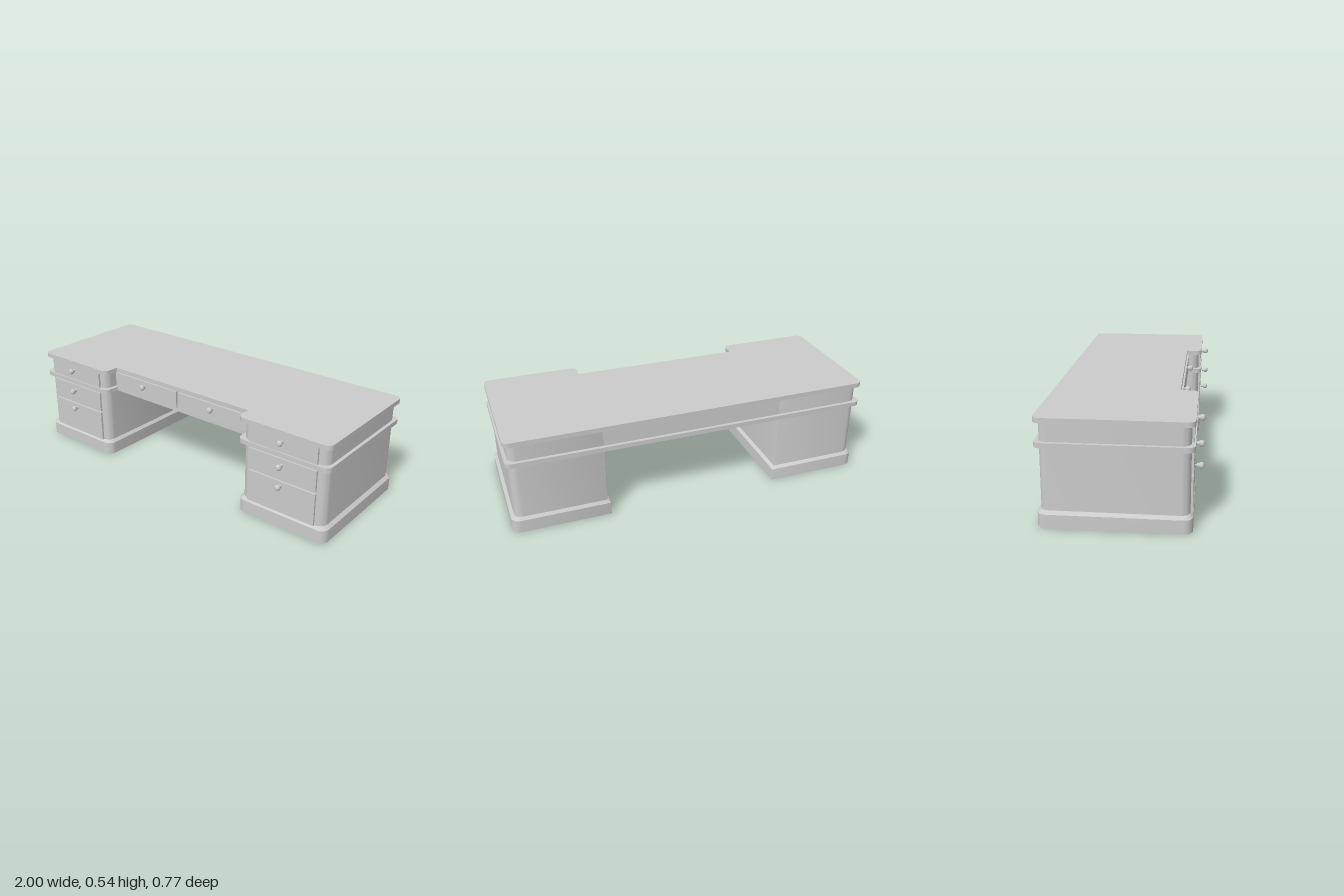
import * as THREE from 'three';
import { toCreasedNormals } from 'three/addons/utils/BufferGeometryUtils.js';

const material = new THREE.MeshStandardMaterial({ color: 0xcccccc });
const SHARP = 0.002;

// Rounded right-angled outline in x/z; corners are [x, z, radius], inset moves it inwards
function outline(corners, inset = 0, steps = 8) {
  const points = [];
  const count = corners.length;
  corners.forEach(([x, z, radius], i) => {
    const p = new THREE.Vector2(x, z);
    const toCorner = ([cx, cz]) => new THREE.Vector2(cx, cz).sub(p).normalize();
    const prev = toCorner(corners[(i + count - 1) % count]);
    const next = toCorner(corners[(i + 1) % count]);
    const convex = next.cross(prev) > 0 ? 1 : -1;
    const r = Math.max(radius - inset * convex, SHARP);
    const c = p.clone().addScaledVector(prev, inset * convex + r).addScaledVector(next, inset * convex + r);
    for (let k = 0; k <= steps; k++) {
      const t = (k / steps) * Math.PI / 2;
      points.push(c.clone().addScaledVector(next, -r * Math.cos(t)).addScaledVector(prev, -r * Math.sin(t)));
    }
  });
  return points;
}

// Upright extrusion of an x/z outline between two heights
function slab(points, y0, y1, hole) {
  const shape = new THREE.Shape(points);
  if (hole) shape.holes.push(new THREE.Path(hole));
  const geometry = new THREE.ExtrudeGeometry(shape, { depth: y1 - y0, bevelEnabled: false });
  geometry.rotateX(Math.PI / 2).translate(0, y1, 0);
  return toCreasedNormals(geometry, 0.6);
}

// Sweep a closed [inset, y] section around a rounded outline
function moulding(corners, section) {
  const rows = section.map(([inset, y]) => outline(corners, inset).map((p) => [p.x, y, p.y]));
  const n = rows[0].length, m = rows.length, index = [];
  for (let i = 0; i < m; i++) for (let j = 0; j < n; j++) {
    const i2 = (i + 1) % m, j2 = (j + 1) % n;
    const a = i * n + j, b = i2 * n + j, c = i * n + j2, d = i2 * n + j2;
    index.push(a, b, c, b, d, c);
  }
  const geometry = new THREE.BufferGeometry();
  geometry.setAttribute('position', new THREE.Float32BufferAttribute(rows.flat(2), 3));
  geometry.setIndex(index);
  return toCreasedNormals(geometry.toNonIndexed(), 0.6);
}

function add(parent, name, geometry) {
  const mesh = new THREE.Mesh(geometry, material);
  mesh.name = name;
  parent.add(mesh);
  return mesh;
}

function box(parent, name, x0, x1, y0, y1, z0, z1) {
  const mesh = add(parent, name, new THREE.BoxGeometry(x1 - x0, y1 - y0, z1 - z0));
  mesh.position.set((x0 + x1) / 2, (y0 + y1) / 2, (z0 + z1) / 2);
}

// Pin, short stem and ball, pointing forwards
function knob(parent, x, y, z) {
  const profile = [[0, 0], [0.004, 0], [0.004, 0.011], [0.01, 0.011], [0.01, 0.019]];
  for (let k = 0; k <= 10; k++) {
    const a = -0.9 + (k / 10) * (0.9 + Math.PI / 2);
    profile.push([0.016 * Math.cos(a), 0.032 + 0.016 * Math.sin(a)]);
  }
  const geometry = new THREE.LatheGeometry(profile.map(([r, h]) => new THREE.Vector2(Math.max(r, 0), h)), 20);
  add(parent, 'knob', toCreasedNormals(geometry.rotateX(Math.PI / 2).toNonIndexed(), 0.6)).position.set(x, y, z);
}

// Footprint of a pedestal: every corner is round except the rear one at the kneehole
function footprint(side, inner, outer, back, front) {
  const [x0, x1] = side > 0 ? [inner, outer] : [-outer, -inner];
  const rear = (x) => (Math.abs(x) < 0.6 ? SHARP : 0.045);
  return [[x0, front, 0.045], [x0, back, rear(x0)], [x1, back, rear(x1)], [x1, front, 0.045]];
}

function pedestal(side) {
  const group = new THREE.Group();
  group.name = side > 0 ? 'leftPedestal' : 'rightPedestal';
  const span = (a, b) => (side > 0 ? [a, b] : [-b, -a]);

  // Thin hollow plinth with a chamfered top edge
  add(group, 'plinth', moulding(footprint(side, 0.476, 1, -0.383, 0.343),
    [[0.004, 0], [0, 0], [0, 0.07], [0.016, 0.085], [0.024, 0.085], [0.024, 0.08], [0.02, 0.08], [0.004, 0.067]]));

  // Carcass wall, open at the front between the drawer sides
  const corners = footprint(side, 0.492, 0.982, -0.368, 0.329);
  const [open0, open1] = span(0.546, 0.925);
  const wall = (inset) => [
    new THREE.Vector2(open0, 0.329 - inset), ...outline(corners, inset), new THREE.Vector2(open1, 0.329 - inset),
  ];
  add(group, 'carcass', slab([...wall(0), ...wall(0.012).reverse()], 0.075, 0.515));

  // Rails between the drawers
  for (const [y0, y1] of [[0.07, 0.085], [0.257, 0.272], [0.383, 0.4]]) {
    box(group, 'rail', open0, open1, y0, y1, 0.317, 0.329);
  }

  // Drawers, bottom to top: a front with a lower box behind it
  const [d0, d1] = span(0.539, 0.933);
  const [b0, b1] = span(0.556, 0.915);
  for (const [y0, y1, knobY] of [[0.083, 0.259, 0.241], [0.27, 0.385, 0.353], [0.42, 0.513, 0.482]]) {
    box(group, 'drawerFront', d0, d1, y0, y1, 0.322, 0.34);
    box(group, 'drawerBox', b0, b1, y0 + 0.005, y0 + 0.09, 0.15, 0.325);
    knob(group, side * 0.74, knobY, 0.34);
  }
  return group;
}

export function createModel() {
  const desk = new THREE.Group();
  desk.name = 'pedestalDesk';

  // Top and waist band share an outline that steps back over the kneehole
  const r = 0.035;
  const topCorners = [
    [-1, -0.387, r], [1, -0.387, r], [1, 0.347, r], [0.471, 0.347, r], [0.471, 0.257, SHARP],
    [-0.471, 0.257, SHARP], [-0.471, 0.347, r], [-1, 0.347, r],
  ];
  add(desk, 'desktop', slab(outline(topCorners), 0.513, 0.538));
  add(desk, 'waistBand', slab(outline(topCorners), 0.395, 0.42, outline(topCorners, 0.045)));

  for (const side of [-1, 1]) desk.add(pedestal(side));

  // Frieze across the kneehole, front and back, and the panel between them
  box(desk, 'backFrieze', -0.5, 0.5, 0.41, 0.515, -0.368, -0.352);
  box(desk, 'frontFrieze', -0.5, 0.5, 0.41, 0.515, 0.222, 0.24);
  box(desk, 'kneeholePanel', -0.495, 0.495, 0.397, 0.412, -0.35, 0.06);

  // Two shallow drawers over the kneehole
  for (const side of [-1, 1]) {
    const [x0, x1] = side > 0 ? [0.005, 0.47] : [-0.47, -0.005];
    box(desk, 'kneeholeDrawerFront', x0, x1, 0.42, 0.513, 0.235, 0.267);
    box(desk, 'kneeholeDrawerBox', x0 + 0.015, x1 - 0.015, 0.422, 0.505, 0.06, 0.225);
    knob(desk, side * 0.243, 0.482, 0.254);
  }
  return desk;
}
